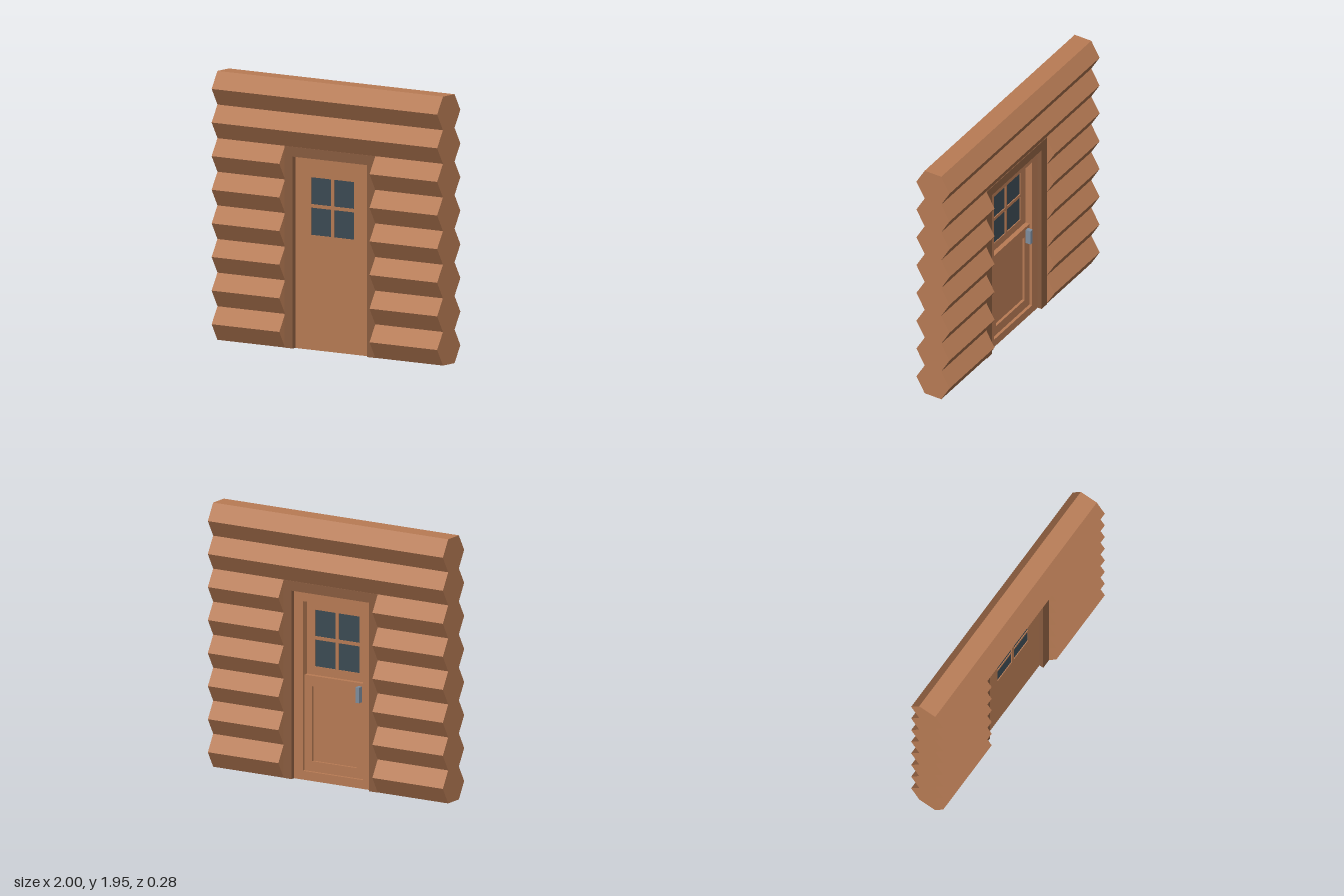
import * as THREE from 'three';

const mat = (color) => new THREE.MeshStandardMaterial({ color, flatShading: true });
const wood = mat(0xb97c55), darkWood = mat(0x8a5d40), glass = mat(0x3c4b54), metal = mat(0x7f8fa0);

const ROWS = 8, ROW_H = 1.948 / ROWS, LOG_R = ROW_H / Math.sqrt(3);

function add(parent, name, geometry, material) {
  const mesh = new THREE.Mesh(geometry, material);
  mesh.name = name;
  parent.add(mesh);
  return mesh;
}

// Rectangle corners from [x0, y0, x1, y1]
const corners = ([x0, y0, x1, y1]) =>
  [[x0, y0], [x1, y0], [x1, y1], [x0, y1]].map(([x, y]) => new THREE.Vector2(x, y));

// Flat board between z0 and z1 with rectangular holes
function board(parent, name, outline, holes, z0, z1, material) {
  const shape = new THREE.Shape(outline);
  for (const h of holes) shape.holes.push(new THREE.Path(corners(h)));
  const g = new THREE.ExtrudeGeometry(shape, { depth: z1 - z0, bevelEnabled: false });
  return add(parent, name, g.translate(0, 0, z0), material);
}

// Six-sided log lying along x
function log(parent, row, x0, x1) {
  const g = new THREE.CylinderGeometry(LOG_R, LOG_R, x1 - x0, 6);
  g.rotateZ(Math.PI / 2).translate((x0 + x1) / 2, (row + 0.5) * ROW_H, 0);
  add(parent, 'log', g, wood);
}

export function createModel() {
  const model = new THREE.Group();
  model.name = 'logWallWithDoor';

  // Stacked logs, split around the doorway in the lower six rows
  const wall = new THREE.Group();
  wall.name = 'logWall';
  model.add(wall);
  for (let row = 0; row < ROWS; row++) {
    if (row < 6) {
      log(wall, row, -1, -0.4);
      log(wall, row, 0.4, 1);
    } else log(wall, row, -1, 1);
  }

  // Door frame: two jambs and a lintel in one piece
  const top = 6 * ROW_H;
  const frame = [[-0.4, 0], [-0.33, 0], [-0.33, 1.39], [0.33, 1.39], [0.33, 0], [0.4, 0], [0.4, top], [-0.4, top]]
    .map(([x, y]) => new THREE.Vector2(x, y));
  board(model, 'doorFrame', frame, [], -0.075, 0.075, darkWood);

  // Door: flat front, panelled back
  const door = new THREE.Group();
  door.name = 'door';
  model.add(door);
  const outer = corners([-0.33, 0, 0.33, 1.39]);
  const panes = [];
  for (const [x0, x1] of [[-0.19, -0.012], [0.012, 0.19]])
    for (const [y0, y1] of [[0.832, 1.03], [1.055, 1.25]]) panes.push([x0, y0, x1, y1]);
  board(door, 'doorFace', outer, panes, 0.015, 0.042, wood);
  board(door, 'doorSurround', outer, [[-0.255, 0.065, 0.255, 1.316]], -0.042, 0.015, wood);
  const lower = corners([-0.255, 0.065, 0.255, 0.77]);
  board(door, 'lowerPanel', lower, [], 0, 0.015, wood);
  board(door, 'lowerPanelRim', lower, [[-0.19, 0.14, 0.19, 0.693]], -0.02, 0, wood);

  // Window panes, set slightly back from both faces
  for (const p of panes) board(door, 'windowPane', corners(p), [], 0.022, 0.036, glass);

  // Handle on the back
  const handle = new THREE.BoxGeometry(0.03, 0.115, 0.04).translate(-0.22, 0.69, -0.04);
  add(door, 'handle', handle, metal);

  return model;
}
